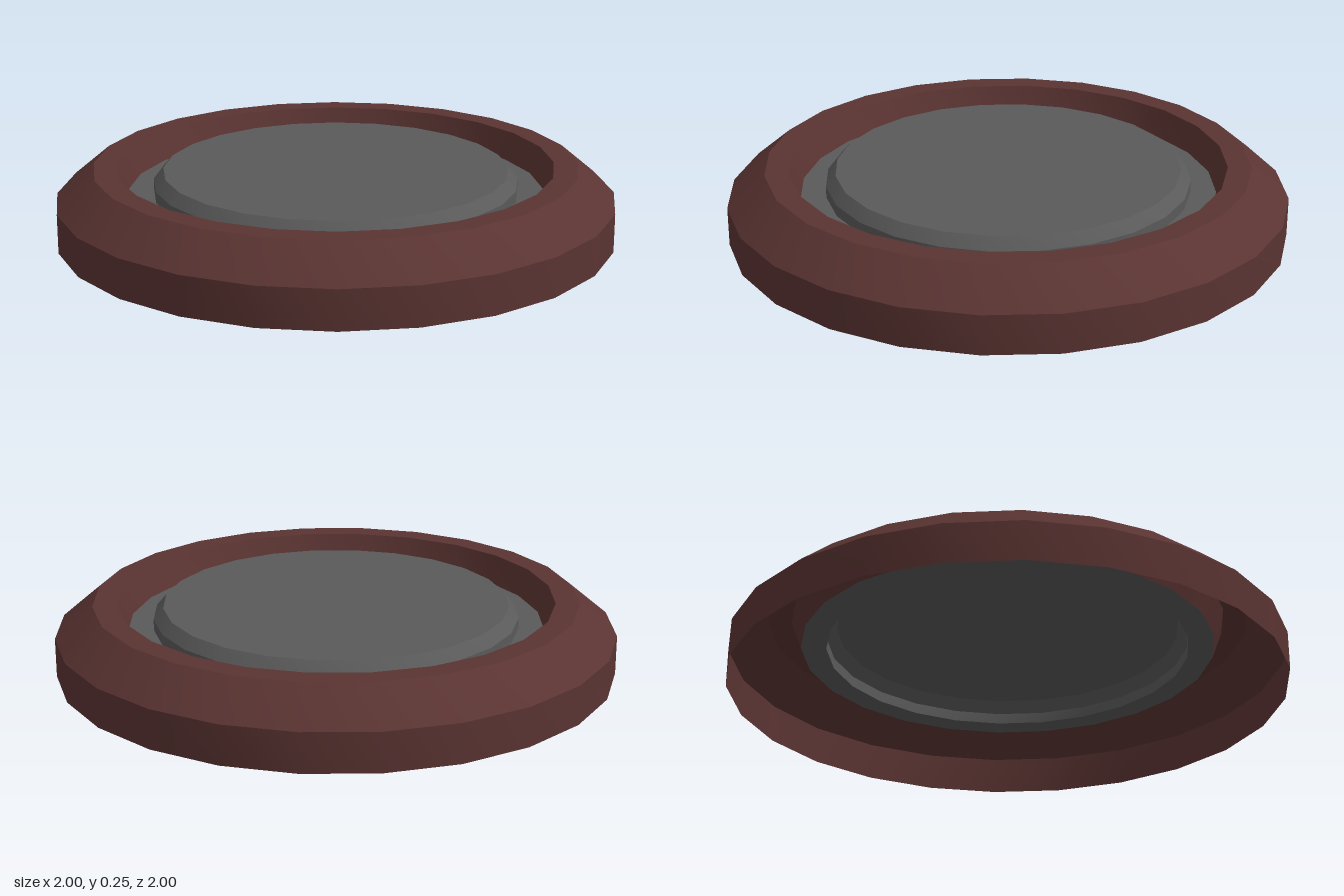
import * as THREE from 'three';
import { toCreasedNormals } from 'three/addons/utils/BufferGeometryUtils.js';

const SIDES = 24;

// Open shell turned around y: smooth around, sharp between bands
function turned(name, profile, color) {
  const points = profile.map(([r, y]) => new THREE.Vector2(r, y));
  const geometry = toCreasedNormals(new THREE.LatheGeometry(points, SIDES), 0.4);
  const material = new THREE.MeshStandardMaterial({ color, side: THREE.DoubleSide });
  const mesh = new THREE.Mesh(geometry, material);
  mesh.name = name;
  return mesh;
}

export function createModel() {
  const group = new THREE.Group();
  group.name = 'roundPlateInRim';

  // Rim: outer wall, sloped shoulder, flat top and inner lip, open below
  group.add(turned('rim', [[1, 0], [1, 0.14], [0.865, 0.253], [0.78, 0.253], [0.743, 0.155]], 0x5a3432));

  // Plate: flat ledge, low wall, bevel and raised flat centre
  group.add(turned('plate', [[0.743, 0.155], [0.652, 0.155], [0.652, 0.195], [0.617, 0.235], [0, 0.235]], 0x5a5a5a));

  return group;
}
